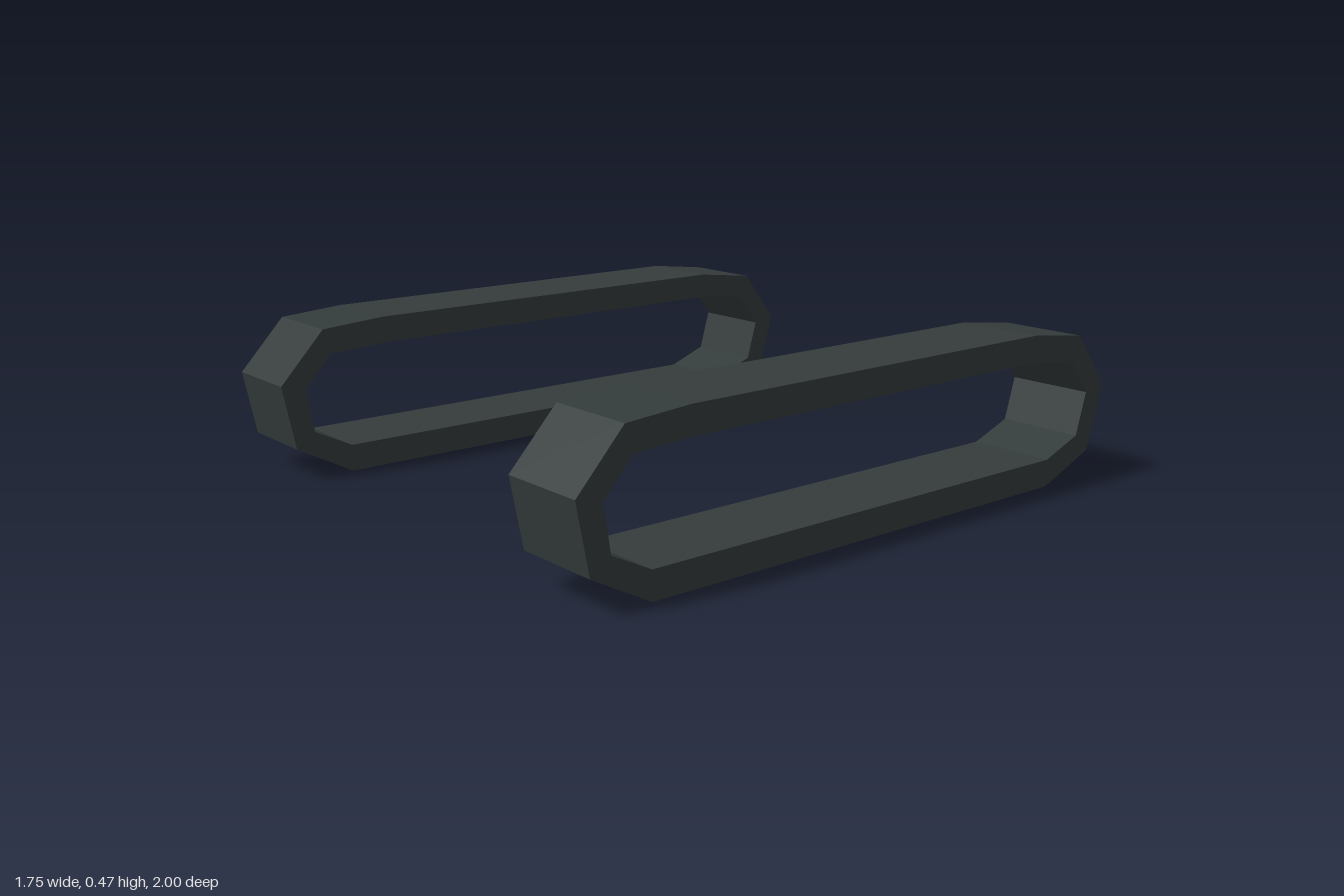
import * as THREE from 'three';

// Loop profile as [z, y] points
const OUTER = [
  [0.775, 0], [0.96, 0.1], [1, 0.3], [0.855, 0.457], [0.65, 0.472],
  [-0.66, 0.472], [-0.872, 0.446], [-1, 0.28], [-0.94, 0.08], [-0.745, 0],
];
const INNER = [
  [0.775, 0.083], [0.898, 0.145], [0.92, 0.28], [0.83, 0.38], [0.64, 0.391],
  [-0.65, 0.391], [-0.838, 0.373], [-0.92, 0.265], [-0.882, 0.135], [-0.745, 0.083],
];
const WIDTH = 0.27;
const OFFSET = 0.739;

const toPoints = (list) => list.map(([z, y]) => new THREE.Vector2(z, y));

export function createModel() {
  const model = new THREE.Group();
  model.name = 'trackPair';

  const rubber = new THREE.MeshStandardMaterial({ color: 0x343c3b });
  rubber.name = 'dark rubber';

  // Hollow band, turned so the profile runs along z and its width along x
  const shape = new THREE.Shape(toPoints(OUTER));
  shape.holes.push(new THREE.Path(toPoints(INNER)));
  const band = new THREE.ExtrudeGeometry(shape, { depth: WIDTH, bevelEnabled: false });
  band.translate(0, 0, -WIDTH / 2);
  band.rotateY(-Math.PI / 2);

  // One track on each side
  for (const [name, side] of [['leftTrack', 1], ['rightTrack', -1]]) {
    const track = new THREE.Mesh(band, rubber);
    track.name = name;
    track.position.x = side * OFFSET;
    model.add(track);
  }
  return model;
}
